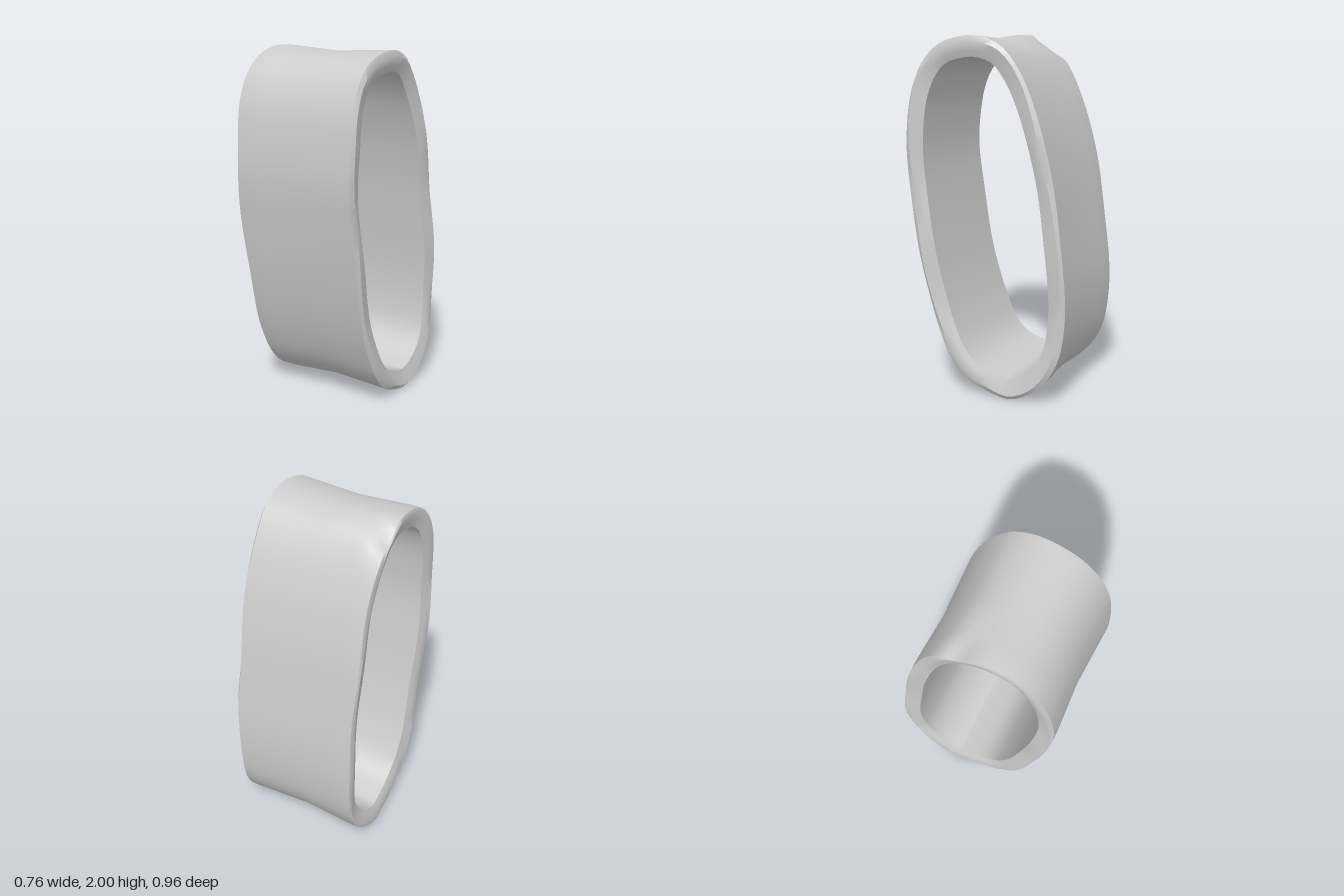
import * as THREE from 'three';
import { toCreasedNormals } from 'three/addons/utils/BufferGeometryUtils.js';

// Leaning oval outline as [z, y]
const OUTLINE = [
  [0.13, 2.0], [0.02, 2.0], [-0.1, 1.95], [-0.2, 1.83], [-0.3, 1.62], [-0.38, 1.34],
  [-0.44, 0.98], [-0.475, 0.65], [-0.47, 0.43], [-0.44, 0.27], [-0.37, 0.14], [-0.27, 0.05],
  [-0.14, 0.0], [-0.04, 0.02], [0.1, 0.08], [0.2, 0.18], [0.29, 0.36], [0.37, 0.62],
  [0.44, 0.98], [0.48, 1.3], [0.475, 1.5], [0.44, 1.72], [0.37, 1.87], [0.27, 1.96],
];

// Band section as [x, inset from outline]: waisted outside, rounded rims, plain bore
const SECTION = [
  [-0.37, 0.004], [-0.3, 0.003], [-0.24, 0.006], [0, 0.018], [0.36, 0],
  [0.375, 0.025], [0.365, 0.065], [0.352, 0.1],
  [0, 0.103], [-0.352, 0.1], [-0.365, 0.065], [-0.377, 0.025],
];

const SEGMENTS = 96;

function bandGeometry() {
  const curve = new THREE.CatmullRomCurve3(
    OUTLINE.map(([z, y]) => new THREE.Vector3(0, y, z)), true, 'centripetal');
  const positions = [], index = [];
  const n = SECTION.length;

  for (let i = 0; i < SEGMENTS; i++) {
    const u = i / SEGMENTS;
    const p = curve.getPointAt(u), t = curve.getTangentAt(u);
    // inward normal of the outline; the wall is slightly thicker at top and bottom
    const ny = t.z, nz = -t.y;
    const thick = 1 + 0.14 * ny * ny;
    for (const [sx, inset] of SECTION) {
      let x = sx, d = inset * thick;
      // uneven, hand-worn rims
      if (Math.abs(sx) > 0.35) {
        const s = Math.sign(sx);
        x += s * 0.005 * Math.sin(14 * Math.PI * u + s);
        if (inset > 0.02 && inset < 0.09) d += 0.008 * Math.sin(10 * Math.PI * u + 2 * s);
      }
      let y = p.y + ny * d;
      const z = p.z + nz * d;
      // dent in the upper edge on one side
      if (p.y > 1.5 && inset < 0.09) {
        const across = Math.max(0, 1 - Math.abs(p.z + 0.08) / 0.11);
        const along = THREE.MathUtils.clamp((-0.24 - sx) / 0.12, 0, 1);
        const dent = across * along * (1 - inset / 0.1);
        y -= 0.07 * dent;
        x += 0.015 * dent;
      }
      positions.push(x, y, z);
    }
  }

  for (let i = 0; i < SEGMENTS; i++) {
    const a = i * n, b = ((i + 1) % SEGMENTS) * n;
    for (let j = 0; j < n; j++) {
      const k = (j + 1) % n;
      index.push(a + j, a + k, b + j, a + k, b + k, b + j);
    }
  }

  const geometry = new THREE.BufferGeometry();
  geometry.setAttribute('position', new THREE.Float32BufferAttribute(positions, 3));
  geometry.setIndex(index);
  // Orient outward: the first point is on top, so its face must look up
  const v = [0, 1, 2].map((c) => new THREE.Vector3().fromArray(positions, index[c + 18] * 3));
  const up = v[1].sub(v[0]).cross(v[2].sub(v[0])).y;
  if (up < 0) geometry.setIndex(index.slice().reverse());
  return toCreasedNormals(geometry, 0.7);
}

export function createModel() {
  const group = new THREE.Group();
  group.name = 'ovalRing';
  const band = new THREE.Mesh(bandGeometry(), new THREE.MeshStandardMaterial({ color: 0xcccccc }));
  band.name = 'band';
  group.add(band);
  return group;
}
